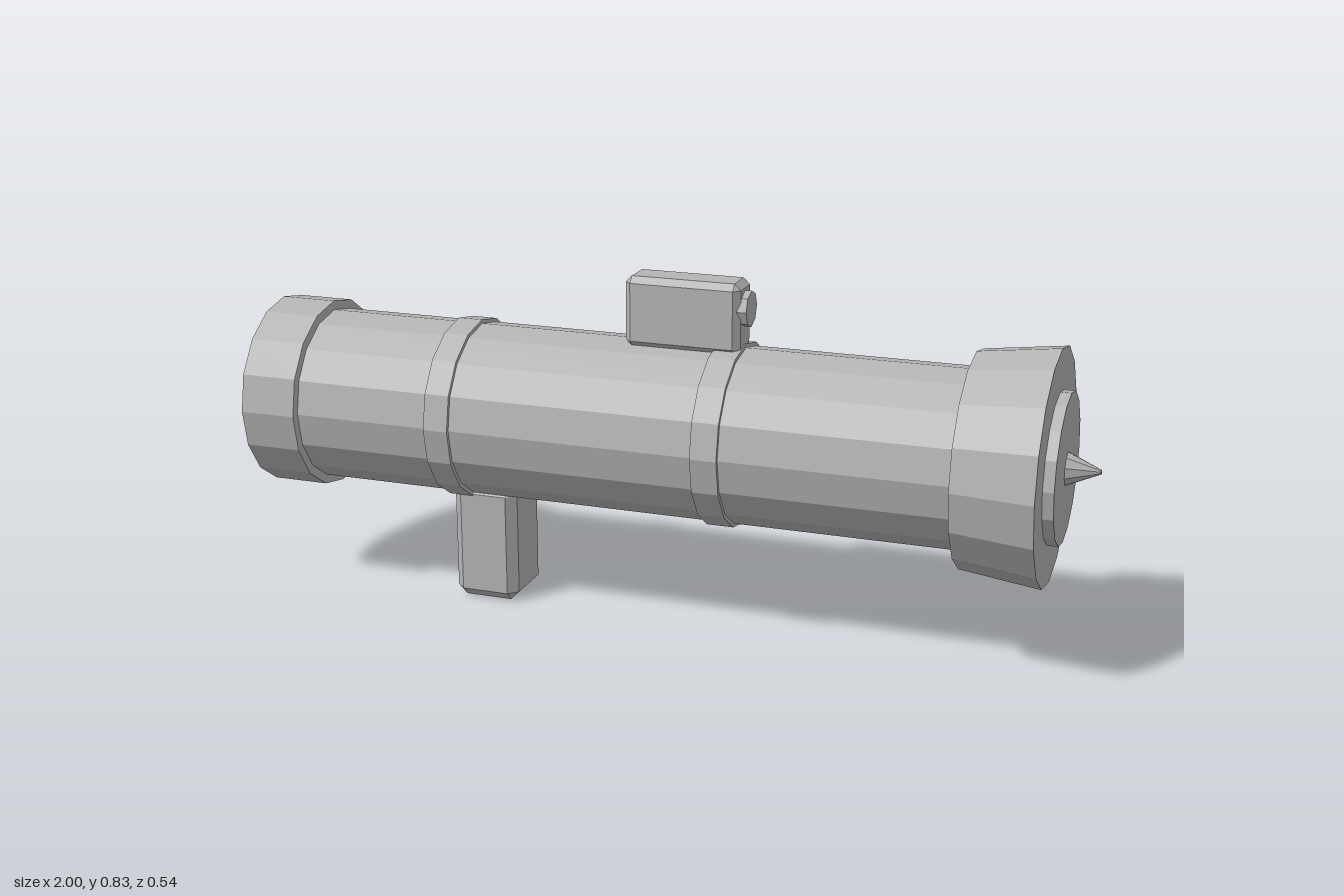
import * as THREE from 'three';
import { ConvexGeometry } from 'three/addons/geometries/ConvexGeometry.js';

const AXIS_Y = 0.464;

export function createModel() {
  const group = new THREE.Group();
  const grey = new THREE.MeshStandardMaterial({ color: 0xb4b4b4, flatShading: true });
  grey.name = 'plain grey';

  const add = (name, geometry, x, y) => {
    const mesh = new THREE.Mesh(geometry, grey);
    mesh.name = name;
    mesh.position.set(x, y, 0);
    group.add(mesh);
  };

  // Faceted round part lying along x, from x0 (radius r0) to x1 (radius r1)
  const round = (name, x0, x1, r0, r1 = r0, sides = 16, y = AXIS_Y) => {
    const g = new THREE.CylinderGeometry(r1, r0, x1 - x0, sides, 1, false, Math.PI / 2);
    g.rotateZ(-Math.PI / 2);
    add(name, g, (x0 + x1) / 2, y);
  };

  // Box with all edges chamfered by b
  const chamferBox = (name, x0, x1, y0, y1, depth, b) => {
    const h = [(x1 - x0) / 2, (y1 - y0) / 2, depth / 2];
    const points = [];
    for (const sx of [-1, 1]) for (const sy of [-1, 1]) for (const sz of [-1, 1]) {
      for (let face = 0; face < 3; face++) {
        const [px, py, pz] = h.map((v, i) => (i === face ? v : v - b));
        points.push(new THREE.Vector3(sx * px, sy * py, sz * pz));
      }
    }
    add(name, new ConvexGeometry(points), (x0 + x1) / 2, (y0 + y1) / 2);
  };

  // Tube with its end pieces and bands
  round('tube', -0.9, 0.8, 0.207);
  round('rearCap', -1, -0.863, 0.229);
  round('rearBand', -0.53, -0.47, 0.216);
  round('frontBand', 0.122, 0.185, 0.216);
  round('flaredMuzzle', 0.713, 0.9, 0.248, 0.271);

  // Nose plate and spike
  round('nosePlate', 0.88, 0.925, 0.173);
  round('noseSpike', 0.92, 1, 0.041, 0.005, 10);

  // Grip below, sight with its lens above
  chamferBox('grip', -0.525, -0.365, 0, 0.29, 0.164, 0.022);
  chamferBox('sight', -0.093, 0.182, 0.66, 0.826, 0.098, 0.015);
  round('sightLens', 0.17, 0.197, 0.042, 0.042, 8, 0.763);

  return group;
}
